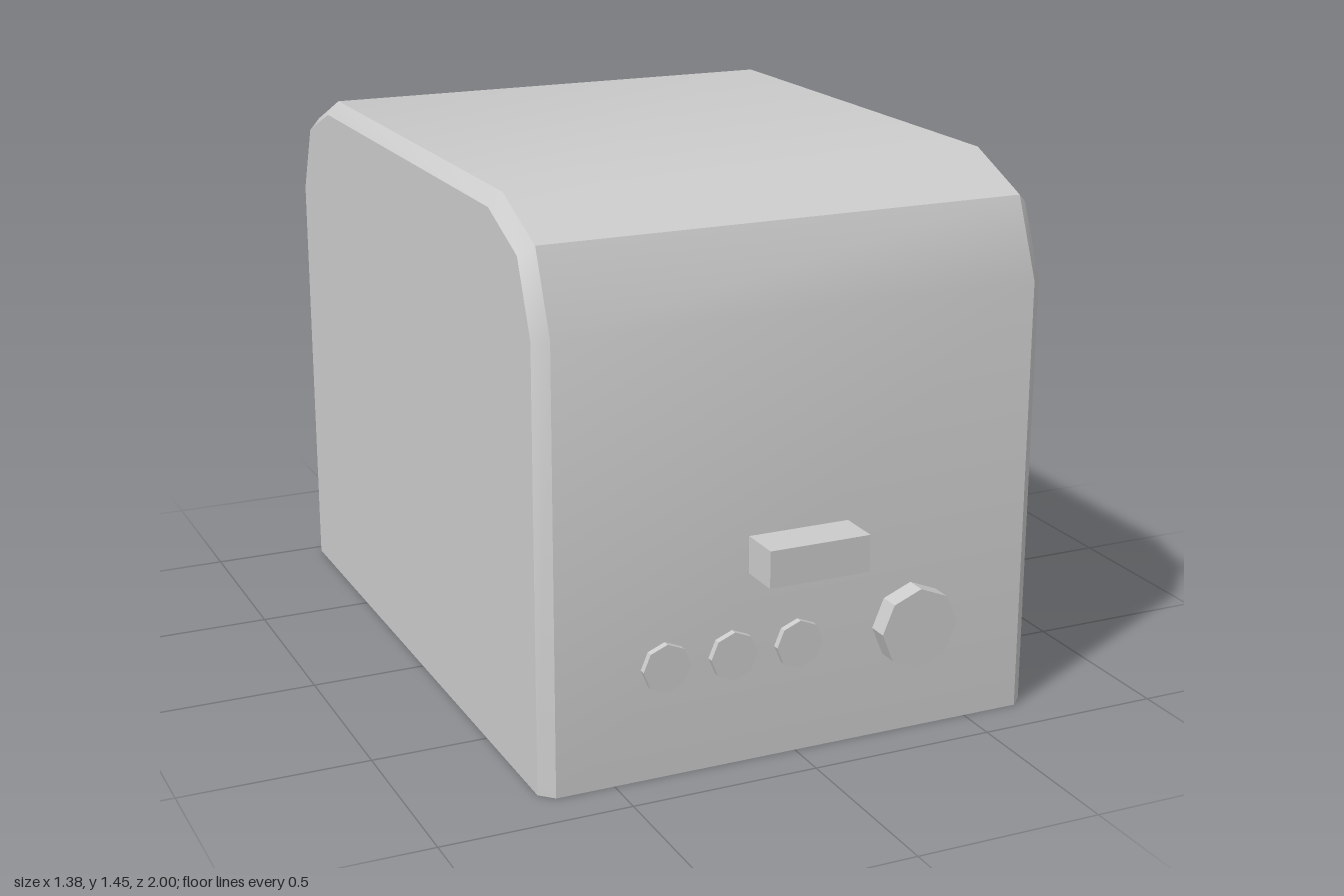
import * as THREE from 'three';
import { toCreasedNormals } from 'three/addons/utils/BufferGeometryUtils.js';

const FRONT = 0.885, BACK = -1, TOP = 1.45;

// Side outline as [z, y] points from front bottom over the top to back bottom, moved inwards by d
function outline(d) {
  const k = d * 0.41;
  const half = (z, s) => [
    [z - s * d, 0],
    [z - s * d, 1.16 - d * 0.2],
    [z - s * (0.085 + d * 0.765), 1.365 - d * 0.765],
    [z - s * (0.29 + k * 0.5), TOP - d],
  ];
  return [...half(FRONT, 1), ...half(BACK, -1).reverse()];
}

// Housing: cross-sections along x, chamfered at both ends
function housingGeometry() {
  const rings = [[-0.69, 0.035], [-0.655, 0], [0.655, 0], [0.69, 0.035]]
    .map(([x, d]) => outline(d).map(([z, y]) => [x, y, z]));
  const n = rings[0].length, last = rings.length - 1, pos = [];
  const tri = (a, b, c) => pos.push(...a, ...b, ...c);
  for (let r = 0; r < last; r++) {
    for (let i = 0; i < n; i++) {
      const j = (i + 1) % n;
      tri(rings[r][i], rings[r + 1][i], rings[r + 1][j]);
      tri(rings[r][i], rings[r + 1][j], rings[r][j]);
    }
  }
  // Side panels
  for (let i = 1; i < n - 1; i++) {
    tri(rings[0][0], rings[0][i], rings[0][i + 1]);
    tri(rings[last][0], rings[last][i + 1], rings[last][i]);
  }
  const geometry = new THREE.BufferGeometry();
  geometry.setAttribute('position', new THREE.Float32BufferAttribute(pos, 3));
  return toCreasedNormals(geometry, 0.6);
}

export function createModel() {
  const group = new THREE.Group();
  const smooth = new THREE.MeshStandardMaterial({ color: 0xcccccc });
  const flat = new THREE.MeshStandardMaterial({ color: 0xcccccc, flatShading: true });

  const add = (name, geometry, material, x = 0, y = 0, z = 0) => {
    const mesh = new THREE.Mesh(geometry, material);
    mesh.name = name;
    mesh.position.set(x, y, z);
    group.add(mesh);
  };

  add('housing', housingGeometry(), smooth);

  // Lever on the front
  add('lever', new THREE.BoxGeometry(0.275, 0.097, 1 - FRONT), flat, 0, 0.553, (1 + FRONT) / 2);

  // Eight-sided controls facing forward
  const control = (name, x, radius, depth) => add(
    name, new THREE.CylinderGeometry(radius, radius, depth, 8).rotateX(Math.PI / 2), flat,
    x, 0.297, FRONT + depth / 2);
  [-0.365, -0.182, 0].forEach((x, i) => control(`button${i + 1}`, x, 0.064, 0.018));
  control('dial', 0.324, 0.108, 0.055);

  return group;
}
